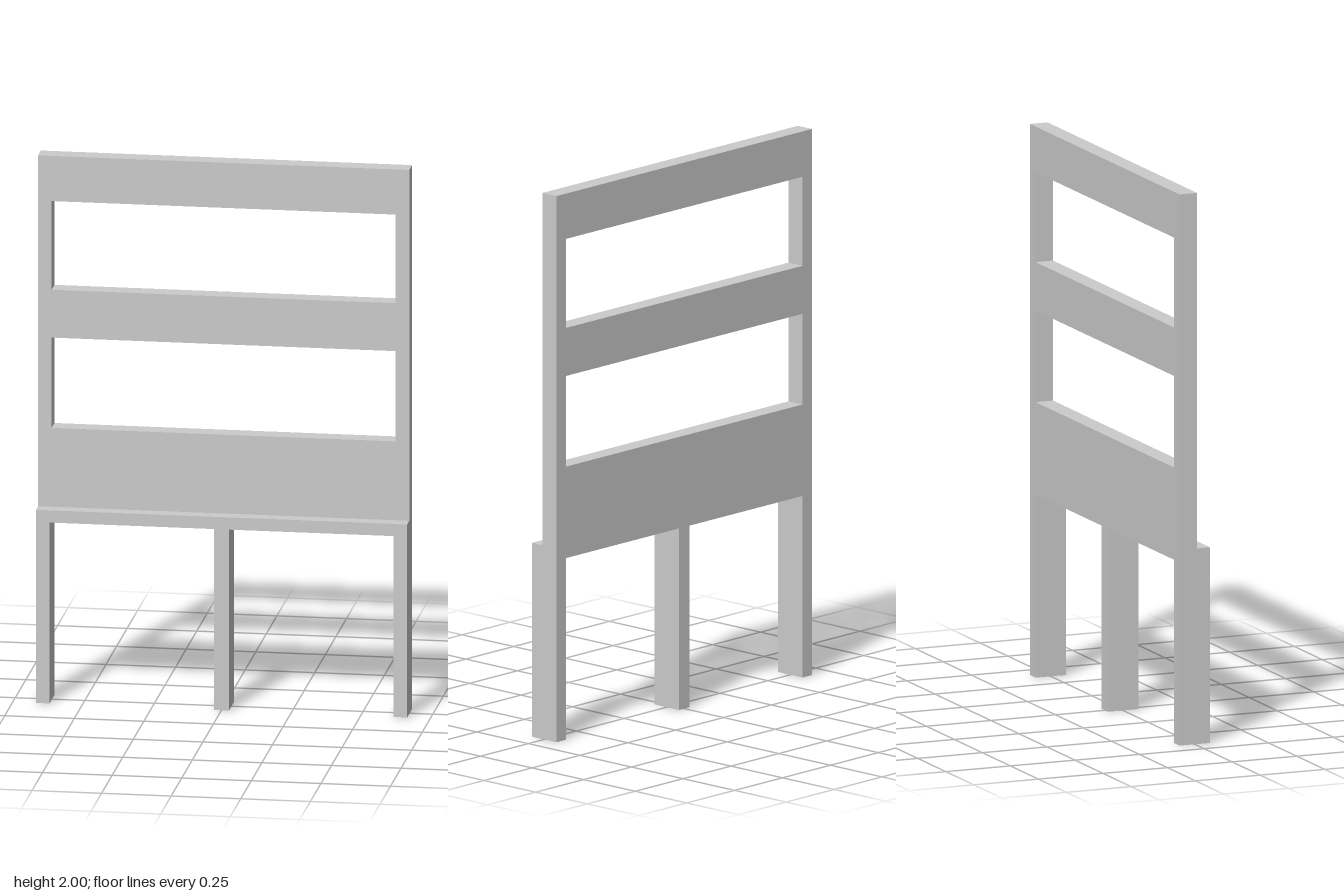
import * as THREE from 'three';

const HALF_W = 0.667;   // outer half width
const INNER = 0.618;    // inner face of the side posts
const STEP_Y = 0.71;    // top of the deeper base
const BACK = -0.059, FRONT = 0.059, PANEL_FRONT = 0.009;

function polygon(points, Type = THREE.Shape) {
  return new Type(points.map(([x, y]) => new THREE.Vector2(x, y)));
}

function rect(halfW, y0, y1, Type) {
  return polygon([[-halfW, y0], [halfW, y0], [halfW, y1], [-halfW, y1]], Type);
}

function slab(name, shape, z0, z1, material) {
  const geometry = new THREE.ExtrudeGeometry(shape, { depth: z1 - z0, bevelEnabled: false });
  geometry.translate(0, 0, z0);
  const mesh = new THREE.Mesh(geometry, material);
  mesh.name = name;
  return mesh;
}

export function createModel() {
  const group = new THREE.Group();
  group.name = 'slattedPanel';
  const material = new THREE.MeshStandardMaterial({ color: 0xcccccc });

  // Upper frame: posts and rails around two wide openings
  const frame = rect(HALF_W, STEP_Y, 2);
  for (const [y0, y1] of [[1.0, 1.332], [1.508, 1.834]]) {
    frame.holes.push(rect(INNER, y0, y1, THREE.Path));
  }
  group.add(slab('upperFrame', frame, BACK, PANEL_FRONT, material));

  // Deeper base: bottom rail with two outer legs and a middle leg
  const railY = 0.665, mid = 0.027;
  const base = polygon([
    [-HALF_W, 0], [-INNER, 0], [-INNER, railY], [-mid, railY],
    [-mid, 0], [mid, 0], [mid, railY], [INNER, railY],
    [INNER, 0], [HALF_W, 0], [HALF_W, STEP_Y], [-HALF_W, STEP_Y],
  ]);
  group.add(slab('baseWithLegs', base, BACK, FRONT, material));

  return group;
}
